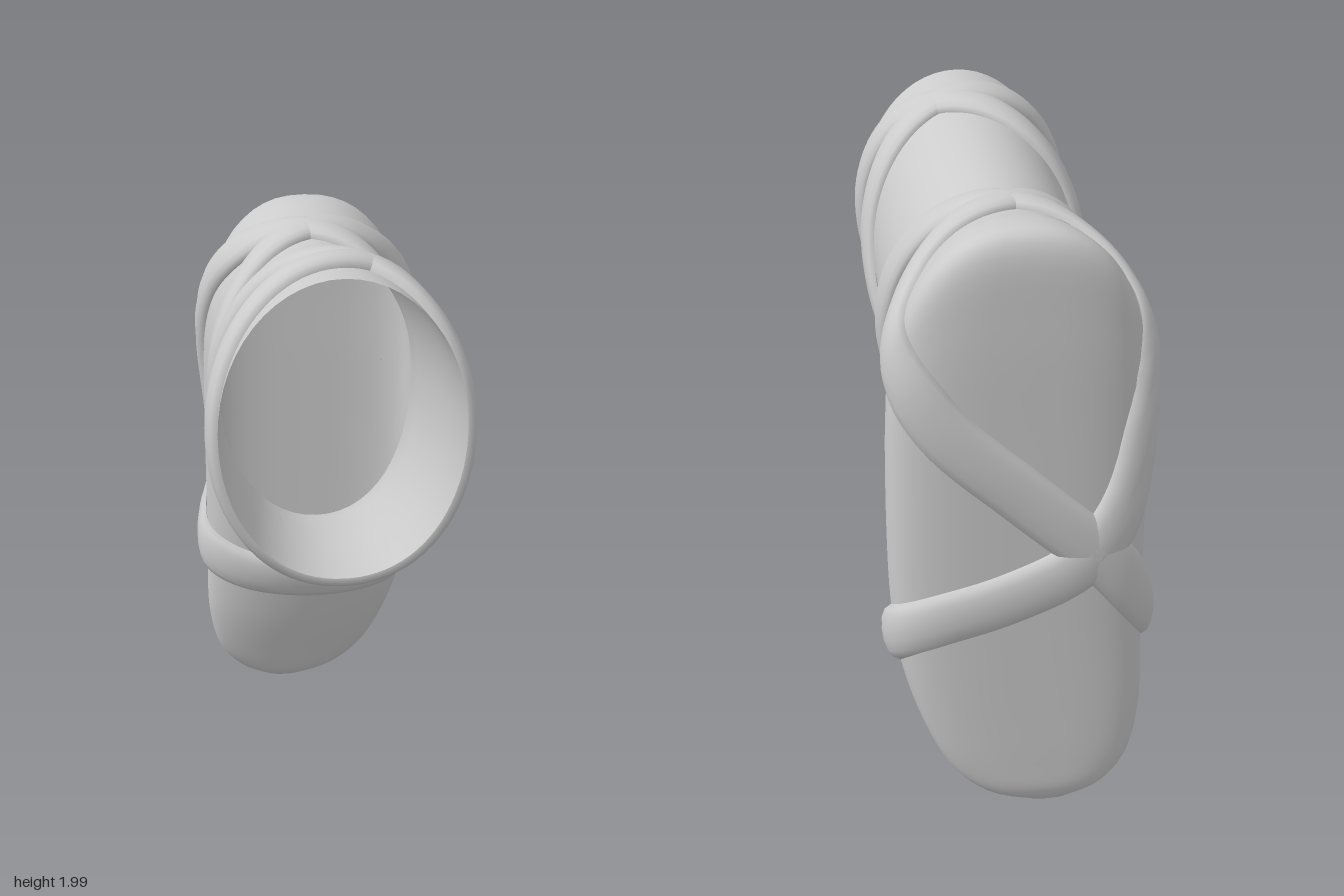
import * as THREE from 'three';

// Boot cross-sections from the opening to the toe:
// [heel-side y, z, instep-side y, z, half width, x centre, squareness of the heel/sole half]
const SECTIONS = [
  [1.98, 0.84, 1.12, 0.83, 0.342, -0.02, 2],
  [1.94, 0.40, 1.06, 0.40, 0.338, -0.005, 2],
  [1.88, 0.00, 0.98, 0.05, 0.332, 0, 2],
  [1.85, -0.20, 0.93, -0.10, 0.33, 0, 2],
  [1.87, -0.45, 0.87, -0.25, 0.345, 0.005, 2.1],
  [1.91, -0.65, 0.80, -0.35, 0.365, 0.01, 2.2],
  [1.88, -0.77, 0.72, -0.41, 0.378, 0.015, 2.5],
  [1.65, -0.79, 0.66, -0.45, 0.383, 0.017, 3],
  [1.30, -0.79, 0.62, -0.47, 0.385, 0.017, 3.2],
  [0.95, -0.79, 0.56, -0.49, 0.383, 0.015, 3.2],
  [0.65, -0.79, 0.45, -0.52, 0.374, 0.004, 3.2],
  [0.38, -0.79, 0.30, -0.565, 0.345, -0.025, 3.2],
  [0.18, -0.79, 0.15, -0.62, 0.285, -0.05, 3],
  [0.07, -0.785, 0.05, -0.66, 0.19, -0.065, 2.6],
  [0.01, -0.75, 0.005, -0.70, 0.07, -0.08, 2.2],
];
const LAST = SECTIONS.length - 1;

// Centre line of the strap: round the shaft and its opening, then the ankle, sole and foot
const STRAP_PATH = [
  [0, 1.0, 0.13], [0.25, 1.15, 0.22], [0.35, 1.5, 0.39], [0.25, 1.8, 0.47], [0.08, 1.93, 0.53],
  [-0.2, 1.88, 0.63], [-0.36, 1.6, 0.73], [-0.27, 1.25, 0.75], [0, 1.11, 0.75],
  [0.25, 1.25, 0.75], [0.34, 1.55, 0.73], [0.25, 1.82, 0.65], [0.1, 1.93, 0.54],
  [-0.15, 1.9, 0.38], [-0.33, 1.55, 0.27], [-0.25, 1.15, 0.2],
  [0, 1.0, 0.13], [0.22, 1.1, 0.04], [0.33, 1.4, -0.06], [0.24, 1.72, -0.2], [0, 1.86, -0.35],
  [-0.23, 1.81, -0.46], [-0.34, 1.65, -0.61], [-0.36, 1.4, -0.72], [-0.31, 1.1, -0.79],
  [-0.16, 0.9, -0.79], [0.05, 0.8, -0.79], [0.3, 0.72, -0.79], [0.39, 0.65, -0.69],
  [0.3, 0.55, -0.55], [0, 0.52, -0.5], [-0.28, 0.56, -0.53], [-0.37, 0.66, -0.68],
  [-0.3, 0.82, -0.79], [0, 1.11, -0.79], [0.29, 1.39, -0.79], [0.36, 1.57, -0.68],
  [0.26, 1.77, -0.49], [0, 1.86, -0.36], [-0.24, 1.72, -0.2], [-0.33, 1.4, -0.06],
  [-0.22, 1.1, 0.04],
].map((p) => new THREE.Vector3(...p));

// Smooth interpolation through the section rows
function sectionAt(s) {
  const row = (k) => SECTIONS[Math.max(0, Math.min(LAST, k))];
  const i = Math.max(0, Math.min(LAST - 1, Math.floor(s)));
  const f = s - i;
  return SECTIONS[0].map((_, c) => {
    const a = row(i - 1)[c], b = row(i)[c], d = row(i + 1)[c], e = row(i + 2)[c];
    return b + 0.5 * f * (d - a + f * (2 * a - 5 * b + 4 * d - e + f * (3 * (b - d) + e - a)));
  });
}

// Point on the boot: s runs along the boot, t around it (0 = heel/sole, 90 = +x, 180 = instep)
function bootPoint(s, deg) {
  const [ay, az, by, bz, w, xc, sq] = sectionAt(Math.max(0, Math.min(LAST, s)));
  const t = THREE.MathUtils.degToRad(deg);
  const c = Math.cos(t), sn = Math.sin(t);
  const n = c > 0 ? sq : 2.1;
  const k = Math.sign(c) * Math.abs(c) ** (2 / n);
  const x = Math.sign(sn) * Math.abs(sn) ** (2 / n);
  return new THREE.Vector3(
    xc + w * x,
    (ay + by) / 2 + k * (ay - by) / 2,
    (az + bz) / 2 + k * (az - bz) / 2
  );
}

function bootNormal(s, deg) {
  const du = bootPoint(s + 0.15, deg).sub(bootPoint(s - 0.15, deg));
  const dv = bootPoint(s, deg + 6).sub(bootPoint(s, deg - 6));
  return dv.cross(du).normalize();
}

// Returns a function that moves any point onto the boot surface
function makeSnapper() {
  const samples = [];
  for (let i = 0; i <= 110; i++) {
    for (let j = 0; j < 90; j++) {
      const s = i / 10, t = j * 4;
      samples.push({ point: bootPoint(s, t), normal: bootNormal(s, t) });
    }
  }
  return (p) => {
    let best = samples[0], min = Infinity;
    for (const q of samples) {
      const d = q.point.distanceToSquared(p);
      if (d < min) { min = d; best = q; }
    }
    const lift = p.clone().sub(best.point).dot(best.normal);
    return { point: p.clone().addScaledVector(best.normal, -lift), normal: best.normal };
  };
}

// Surface through closed rings of points
function loft(name, rings, material, capEnd) {
  const pos = [], index = [];
  const n = rings[0].length;
  rings.forEach((ring) => ring.forEach((p) => pos.push(p.x, p.y, p.z)));
  for (let i = 0; i < rings.length - 1; i++) {
    for (let j = 0; j < n; j++) {
      const a = i * n + j, b = i * n + (j + 1) % n;
      index.push(a, a + n, b, b, a + n, b + n);
    }
  }
  if (capEnd) {
    const last = rings[rings.length - 1];
    const mid = last.reduce((m, p) => m.add(p), new THREE.Vector3()).divideScalar(n);
    const base = (rings.length - 1) * n;
    pos.push(mid.x, mid.y, mid.z);
    for (let j = 0; j < n; j++) index.push(base + j, base + n, base + (j + 1) % n);
  }
  const g = new THREE.BufferGeometry();
  g.setAttribute('position', new THREE.Float32BufferAttribute(pos, 3));
  g.setIndex(index);
  g.computeVertexNormals();
  const mesh = new THREE.Mesh(g, material);
  mesh.name = name;
  return mesh;
}

// One flat padded strap that hugs the boot along a closed path
function makeStrap(name, path, material) {
  const COUNT = 480, HALF_WIDTH = 0.085, THICKNESS = 0.038, SIDES = 14;
  const snap = makeSnapper();
  const curve = new THREE.CatmullRomCurve3(path, true);
  const centres = curve.getSpacedPoints(COUNT).slice(0, COUNT).map(snap);
  const at = (i) => centres[(i + COUNT) % COUNT];
  const average = (key, i, r) => {
    const v = new THREE.Vector3();
    for (let k = i - r; k <= i + r; k++) v.add(at(k)[key]);
    return v.divideScalar(2 * r + 1);
  };
  const rings = centres.map((_, i) => {
    const n = average('normal', i, 4).normalize();
    const p = average('point', i, 2);
    const tan = average('point', i + 4, 2).sub(average('point', i - 4, 2)).normalize();
    const side = new THREE.Vector3().crossVectors(tan, n).normalize();
    return Array.from({ length: SIDES }, (_, j) => {
      const a = (j / SIDES) * Math.PI * 2;
      const up = Math.sin(a);
      const height = up > 0 ? THICKNESS * up ** 0.7 : 0.003;
      const onBoot = snap(p.clone().addScaledVector(side, Math.cos(a) * HALF_WIDTH)).point;
      return onBoot.addScaledVector(n, height);
    });
  });
  rings.push(rings[0]);
  return loft(name, rings, material, false);
}

export function createModel() {
  const model = new THREE.Group();
  model.name = 'wrappedBoot';
  const material = new THREE.MeshStandardMaterial({ color: 0xcccccc, side: THREE.DoubleSide });

  // Boot shell, open at the top of the shaft and closed at the toe
  const rings = [];
  for (let i = 0; i <= LAST * 5; i++) {
    rings.push(Array.from({ length: 56 }, (_, j) => bootPoint(i / 5, (j / 56) * 360)));
  }
  model.add(loft('bootShell', rings, material, true));

  // Strap wound crosswise over the whole boot
  model.add(makeStrap('wrapStrap', STRAP_PATH, material));
  return model;
}
